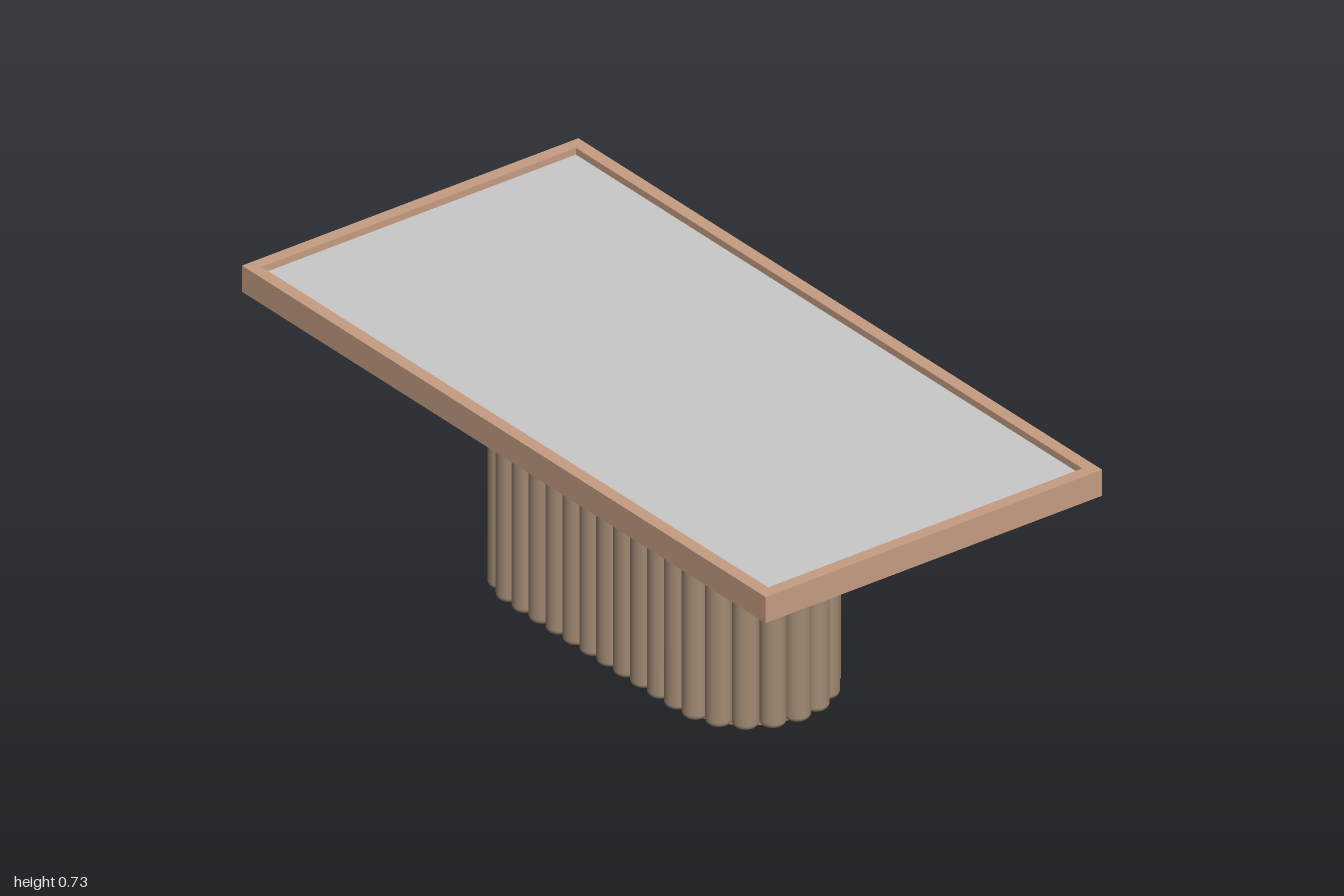
import * as THREE from 'three';

const frameWood = new THREE.MeshStandardMaterial({ color: 0xc69d81 });
frameWood.name = 'frame wood';
const baseWood = new THREE.MeshStandardMaterial({ color: 0xa08a73 });
baseWood.name = 'base wood';
const panelGrey = new THREE.MeshStandardMaterial({ color: 0xc8c8c8 });
panelGrey.name = 'panel grey';

const HALF_X = 0.497, HALF_Z = 1, BORDER = 0.033;
const FRAME_BOTTOM = 0.655, FRAME_TOP = 0.725;
const PANEL_BOTTOM = 0.675, PANEL_TOP = 0.707;
const BASE_Z = -0.03;     // the base sits slightly behind the middle
const ARC_R = 0.185;      // radius of the rounded base ends, at the slat centres
const STRAIGHT = 0.323;   // half length of the straight base sides
const SLAT_R = 0.0325;

function rectangle(PathType, hx, hy) {
  return new PathType([[-hx, -hy], [hx, -hy], [hx, hy], [-hx, hy]]
    .map(([x, y]) => new THREE.Vector2(x, y)));
}

// Extrude a plan shape (x, z) upward from y0 to y1
function slab(shape, y0, y1, material, name) {
  const geometry = new THREE.ExtrudeGeometry(shape, { depth: y1 - y0, bevelEnabled: false, curveSegments: 36 });
  geometry.rotateX(-Math.PI / 2).translate(0, y0, 0);
  const mesh = new THREE.Mesh(geometry, material);
  mesh.name = name;
  return mesh;
}

// Half-round slat centres around the stadium outline
function slatPositions() {
  const points = [];
  const pitch = STRAIGHT / 5;
  for (const side of [1, -1]) {
    for (let i = 0; i < 10; i++) points.push([side * ARC_R, -STRAIGHT + (i + 0.5) * pitch]);
    for (let i = -4; i <= 4; i++) {
      const a = i * Math.PI / 9;
      points.push([ARC_R * Math.sin(a), side * (STRAIGHT + ARC_R * Math.cos(a))]);
    }
  }
  return points;
}

export function createModel() {
  const model = new THREE.Group();
  model.name = 'table';

  // Table top: rectangular frame around a recessed panel
  const outline = rectangle(THREE.Shape, HALF_X, HALF_Z);
  outline.holes.push(rectangle(THREE.Path, HALF_X - BORDER, HALF_Z - BORDER));
  model.add(slab(outline, FRAME_BOTTOM, FRAME_TOP, frameWood, 'topFrame'));
  const inset = rectangle(THREE.Shape, HALF_X - BORDER, HALF_Z - BORDER);
  model.add(slab(inset, PANEL_BOTTOM, PANEL_TOP, panelGrey, 'topPanel'));

  // Base: stadium core wrapped in round slats
  const base = new THREE.Group();
  base.name = 'base';
  base.position.z = BASE_Z;
  const stadium = new THREE.Shape();
  stadium.absarc(0, STRAIGHT, ARC_R, 0, Math.PI);
  stadium.absarc(0, -STRAIGHT, ARC_R, Math.PI, Math.PI * 2);
  base.add(slab(stadium, 0, PANEL_BOTTOM, baseWood, 'baseCore'));

  // Slat profile with a rounded foot
  const round = 0.015;
  const profile = [new THREE.Vector2(0, 0)];
  for (let i = 0; i <= 5; i++) {
    const a = i / 5 * Math.PI / 2;
    profile.push(new THREE.Vector2(SLAT_R - round + round * Math.sin(a), round - round * Math.cos(a)));
  }
  profile.push(new THREE.Vector2(SLAT_R, PANEL_BOTTOM));
  const slatGeometry = new THREE.LatheGeometry(profile, 24);
  for (const [x, z] of slatPositions()) {
    const slat = new THREE.Mesh(slatGeometry, baseWood);
    slat.name = 'slat';
    slat.position.set(x, 0, z);
    base.add(slat);
  }
  model.add(base);
  return model;
}
